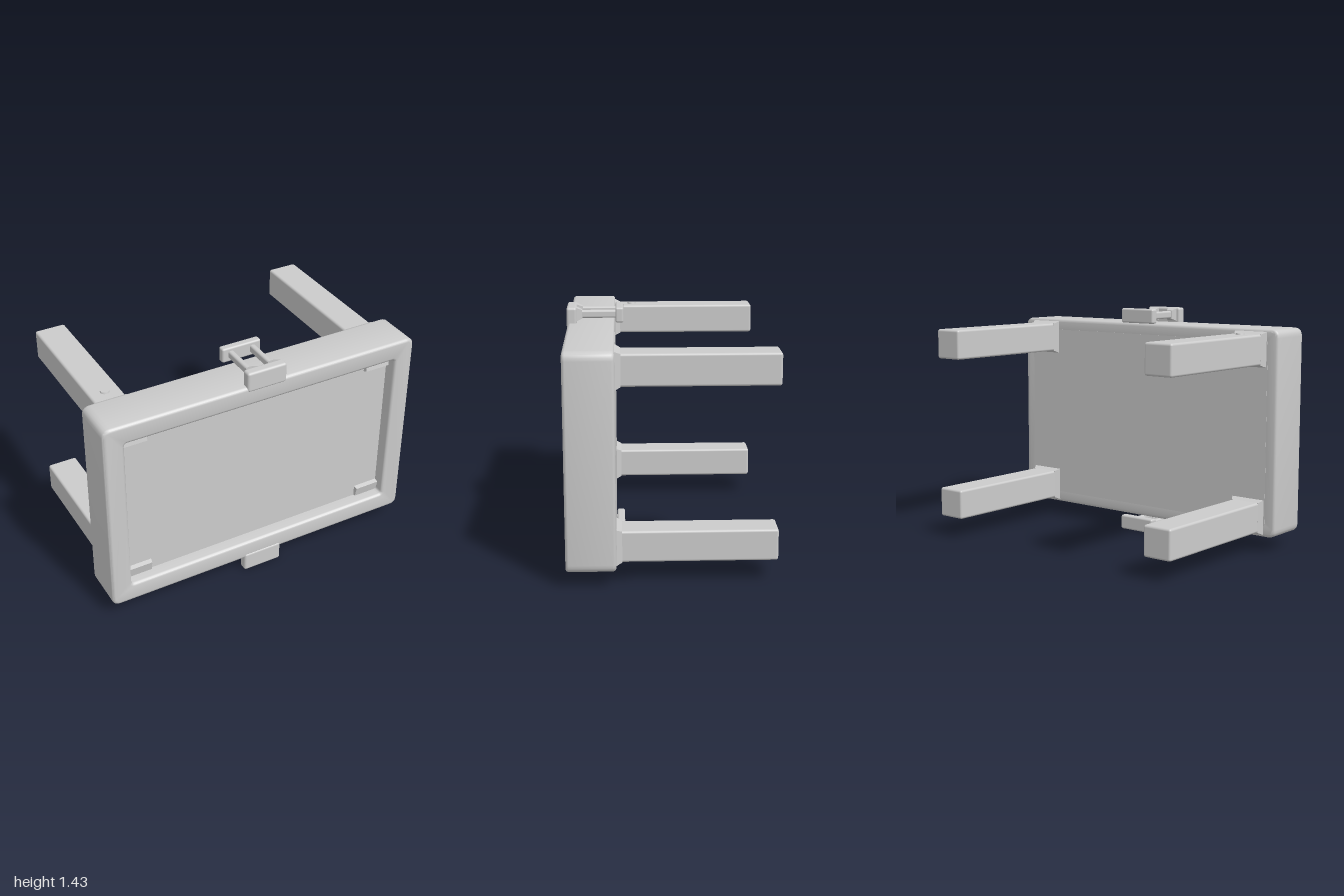
import * as THREE from 'three';
import { RoundedBoxGeometry } from 'three/addons/geometries/RoundedBoxGeometry.js';
import { toCreasedNormals } from 'three/addons/utils/BufferGeometryUtils.js';

const material = new THREE.MeshStandardMaterial({ color: 0xcccccc });

function add(parent, name, geometry, x = 0, y = 0, z = 0) {
  const mesh = new THREE.Mesh(geometry, material);
  mesh.name = name;
  mesh.position.set(x, y, z);
  parent.add(mesh);
  return mesh;
}

// Rounded box given by its lower and upper corners
function block(parent, name, [x0, y0, z0], [x1, y1, z1], radius) {
  const geometry = new RoundedBoxGeometry(x1 - x0, y1 - y0, z1 - z0, 3, radius);
  return add(parent, name, geometry, (x0 + x1) / 2, (y0 + y1) / 2, (z0 + z1) / 2);
}

// Box along z whose -z end is scaled in x and y
function taperedBox(w, h, d, sx, sy) {
  const geometry = new THREE.BoxGeometry(w, h, d);
  const p = geometry.attributes.position;
  for (let i = 0; i < p.count; i++) {
    if (p.getZ(i) < 0) p.setXY(i, p.getX(i) * sx, p.getY(i) * sy);
  }
  const flat = geometry.toNonIndexed();
  flat.computeVertexNormals();
  return flat;
}

function roundedRect(Type, w, h, r) {
  const x = w / 2, y = h / 2;
  const s = new Type();
  s.moveTo(-x + r, -y);
  s.lineTo(x - r, -y);
  s.quadraticCurveTo(x, -y, x, -y + r);
  s.lineTo(x, y - r);
  s.quadraticCurveTo(x, y, x - r, y);
  s.lineTo(-x + r, y);
  s.quadraticCurveTo(-x, y, -x, y - r);
  s.lineTo(-x, -y + r);
  s.quadraticCurveTo(-x, -y, -x + r, -y);
  return s;
}

export function createModel() {
  const model = new THREE.Group();
  model.name = 'framedTray';
  const midY = 0.72;

  // Deep frame with a rectangular opening
  const outline = roundedRect(THREE.Shape, 2, 1.24, 0.05);
  outline.holes.push(roundedRect(THREE.Path, 1.75, 1.0, 0.02));
  const bevel = 0.018;
  const frame = new THREE.ExtrudeGeometry(outline, {
    depth: 0.28 - 2 * bevel, bevelThickness: bevel, bevelSize: bevel,
    bevelOffset: -bevel, bevelSegments: 3, curveSegments: 5,
  });
  add(model, 'frame', toCreasedNormals(frame, 0.7), 0, midY, 0.31 + bevel);

  // Panel set back behind the opening
  add(model, 'panel', new THREE.BoxGeometry(1.86, 1.1, 0.201), 0, midY, 0.4095);

  // Four legs with flared feet and small corner gussets in the recess
  for (const sx of [-1, 1]) {
    for (const sy of [-1, 1]) {
      const x = sx * 0.812, y = midY + sy * 0.5;
      block(model, 'leg', [x - 0.093, y - 0.091, -0.595], [x + 0.093, y + 0.091, 0.33], 0.014);
      add(model, 'legFlare', taperedBox(0.23, 0.216, 0.04, 0.81, 0.84), x, y, 0.297);
      const gusset = add(model, 'cornerGusset', taperedBox(0.16, 0.07, 0.03, 1.05, 1.1),
        sx * 0.797, midY + sy * 0.47, 0.514);
      gusset.rotation.x = sy * -0.2;
    }
  }

  // Small button on one upper leg
  add(model, 'button', new THREE.CylinderGeometry(0.025, 0.029, 0.016, 16), -0.81, 1.312, 0.2);

  // Matching clips on the top and bottom edges
  for (const sy of [-1, 1]) {
    const clip = new THREE.Group();
    clip.name = sy > 0 ? 'topClip' : 'bottomClip';
    clip.position.y = midY;
    if (sy < 0) clip.rotation.z = Math.PI;
    block(clip, 'frontBlock', [-0.125, 0.59, 0.535], [0.125, 0.713, 0.595], 0.015);
    block(clip, 'backPlate', [-0.125, 0.622, 0.257], [0.125, 0.713, 0.305], 0.012);
    for (const x of [-0.07, 0.07]) {
      block(clip, 'rod', [x - 0.017, 0.645, 0.28], [x + 0.017, 0.692, 0.56], 0.012);
      // Widened root where the rod meets the front block
      add(clip, 'rodRoot', taperedBox(0.075, 0.085, 0.04, 0.5, 0.6), x, 0.668, 0.522);
    }
    model.add(clip);
  }

  return model;
}
